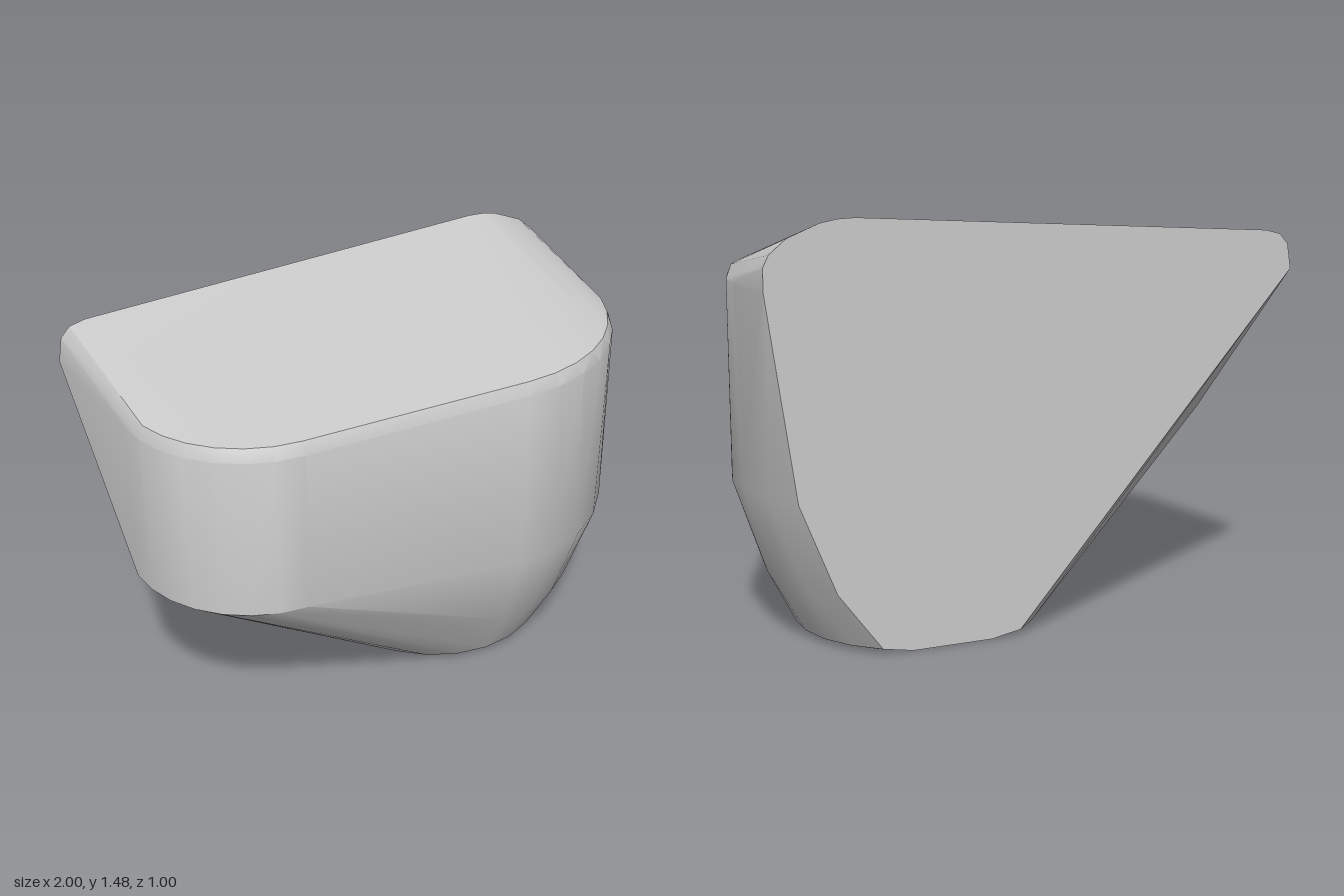
import * as THREE from 'three';
import { ConvexGeometry } from 'three/addons/geometries/ConvexGeometry.js';
import { toCreasedNormals } from 'three/addons/utils/BufferGeometryUtils.js';

const BACK = -0.5;

// Points on a horizontal arc between two angles (0 = +x, PI/2 = front)
function arc(cx, cz, r, y, from, to, steps) {
  return Array.from({ length: steps + 1 }, (_, i) => {
    const a = from + (to - from) * i / steps;
    return new THREE.Vector3(cx + r * Math.cos(a), y, cz + r * Math.sin(a));
  });
}

export function createModel() {
  const group = new THREE.Group();
  group.name = 'taperedBlock';
  const points = [];

  // Tapered foot: circular rings cut off by the flat back
  const fx = 0.35, fz = -0.15;
  for (const [y, r] of [[0, 0.38], [0.02, 0.435], [0.23, 0.545], [0.55, 0.65]]) {
    const a = Math.asin((BACK - fz) / r);
    points.push(...arc(fx, fz, r, y, a, Math.PI - a, 18));
  }

  // Rounded right-hand wall and its softened top rim
  points.push(...arc(fx, fz, 0.65, 1.25, 0, Math.PI / 2, 8));
  points.push(...arc(fx, fz, 0.63, 1.295, 0.31, Math.PI / 2, 7));

  // Smaller rounded corner on the overhanging side
  for (const [y, r] of [[0.65, 0.45], [1.25, 0.45], [1.295, 0.43]]) {
    points.push(...arc(-0.51, 0.05, r, y, Math.PI / 2, Math.PI, 7));
  }

  // Upper outline of the flat back
  const backOutline = [
    [1, 1.25], [1, 1.33], [0.98, 1.37], [0.92, 1.42], [0.81, 1.465], [0.75, 1.477], [0.69, 1.48],
    [-0.89, 1.393], [-0.95, 1.378], [-0.985, 1.34], [-1, 1.25],
  ];
  points.push(...backOutline.map(([x, y]) => new THREE.Vector3(x, y, BACK)));

  const body = new THREE.Mesh(
    toCreasedNormals(new ConvexGeometry(points), THREE.MathUtils.degToRad(24)),
    new THREE.MeshStandardMaterial({ color: 0xcccccc })
  );
  body.name = 'body';
  group.add(body);
  return group;
}
